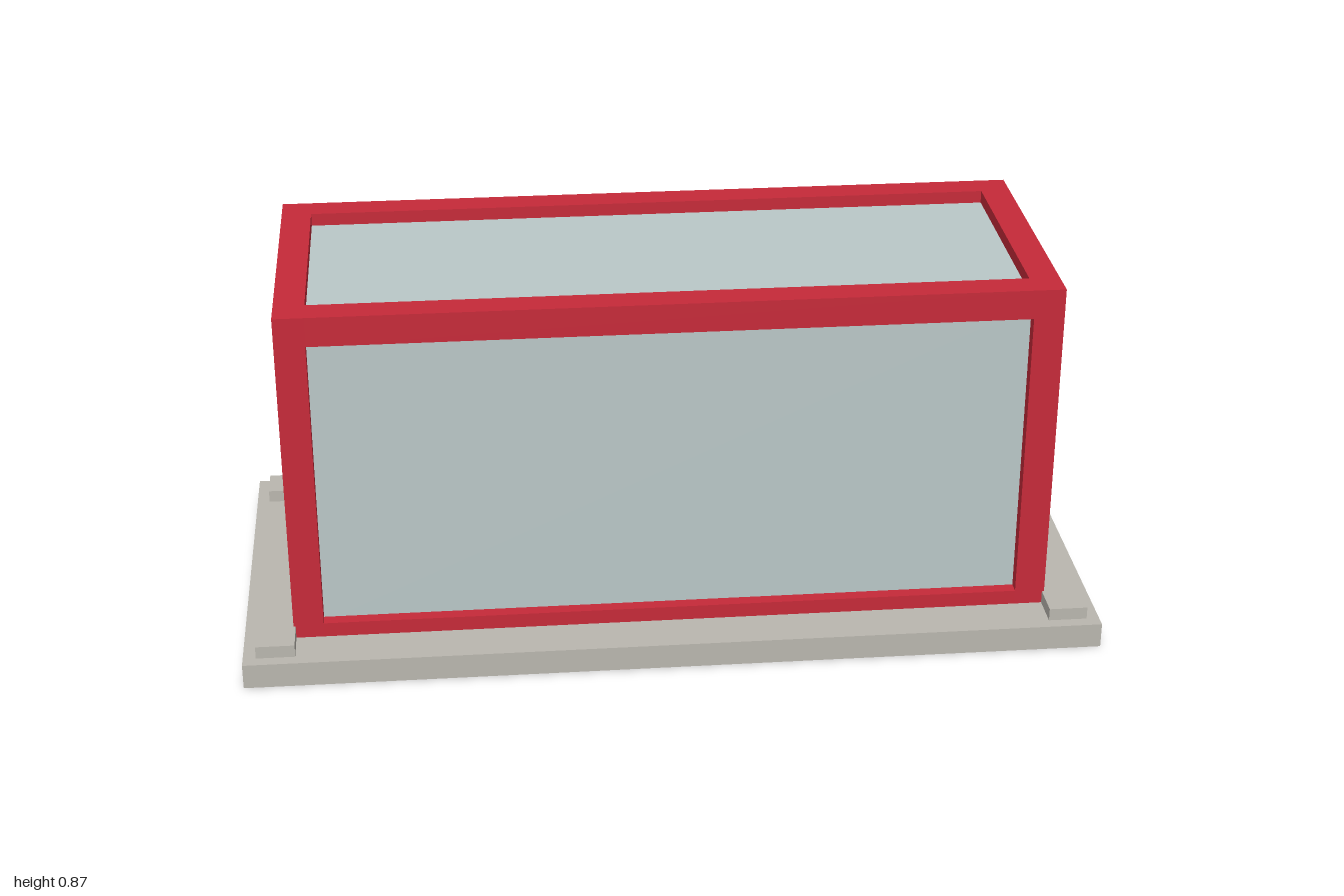
import * as THREE from 'three';

export function createModel() {
  const model = new THREE.Group();
  const stone = new THREE.MeshStandardMaterial({ color: 0xbab7af });
  stone.name = 'warm grey stone';
  const red = new THREE.MeshStandardMaterial({ color: 0xc62a39 });
  red.name = 'red frame';
  const glass = new THREE.MeshStandardMaterial({ color: 0xbac8c8 });
  glass.name = 'pale grey glass';

  const box = (name, material, size, position, parent = model) => {
    const mesh = new THREE.Mesh(new THREE.BoxGeometry(...size), material);
    mesh.name = name;
    mesh.position.set(...position);
    parent.add(mesh);
  };

  // Base slab with a small pad at each corner
  box('baseSlab', stone, [2, 0.06, 0.904], [0, 0.03, 0]);
  for (const x of [-1, 1]) for (const z of [-1, 1]) {
    box('cornerPad', stone, [0.09, 0.03, 0.086], [x * 0.925, 0.075, z * 0.38]);
  }

  // Frame: posts at the corners, rails between them
  const W = 0.885, D = 0.339, bottom = 0.06, top = 0.872;
  const bar = 0.07, sill = 0.035;
  const frame = new THREE.Group();
  frame.name = 'frame';
  model.add(frame);
  const px = W - bar / 2, pz = D - bar / 2;
  for (const x of [-1, 1]) for (const z of [-1, 1]) {
    box('cornerPost', red, [bar, top - bottom, bar], [x * px, (top + bottom) / 2, z * pz], frame);
  }
  for (const [name, height, y] of [['bottomRail', sill, bottom + sill / 2], ['topRail', bar, top - bar / 2]]) {
    for (const s of [-1, 1]) {
      box(name, red, [2 * (W - bar), height, bar], [0, y, s * pz], frame);
      box(name, red, [bar, height, 2 * (D - bar)], [s * px, y, 0], frame);
    }
  }

  // Recessed panels on four sides and the roof
  const recess = 0.03, t = 0.01, inset = recess + t / 2;
  const panels = new THREE.Group();
  panels.name = 'panels';
  model.add(panels);
  const high = top - recess - bottom, midY = bottom + high / 2;
  for (const s of [-1, 1]) {
    box('longPanel', glass, [2 * (W - inset), high - t, t], [0, midY, s * (D - inset)], panels);
    box('endPanel', glass, [t, high - t, 2 * (D - inset)], [s * (W - inset), midY, 0], panels);
  }
  box('roofPanel', glass, [2 * (W - inset), t, 2 * (D - inset)], [0, top - inset, 0], panels);

  return model;
}
